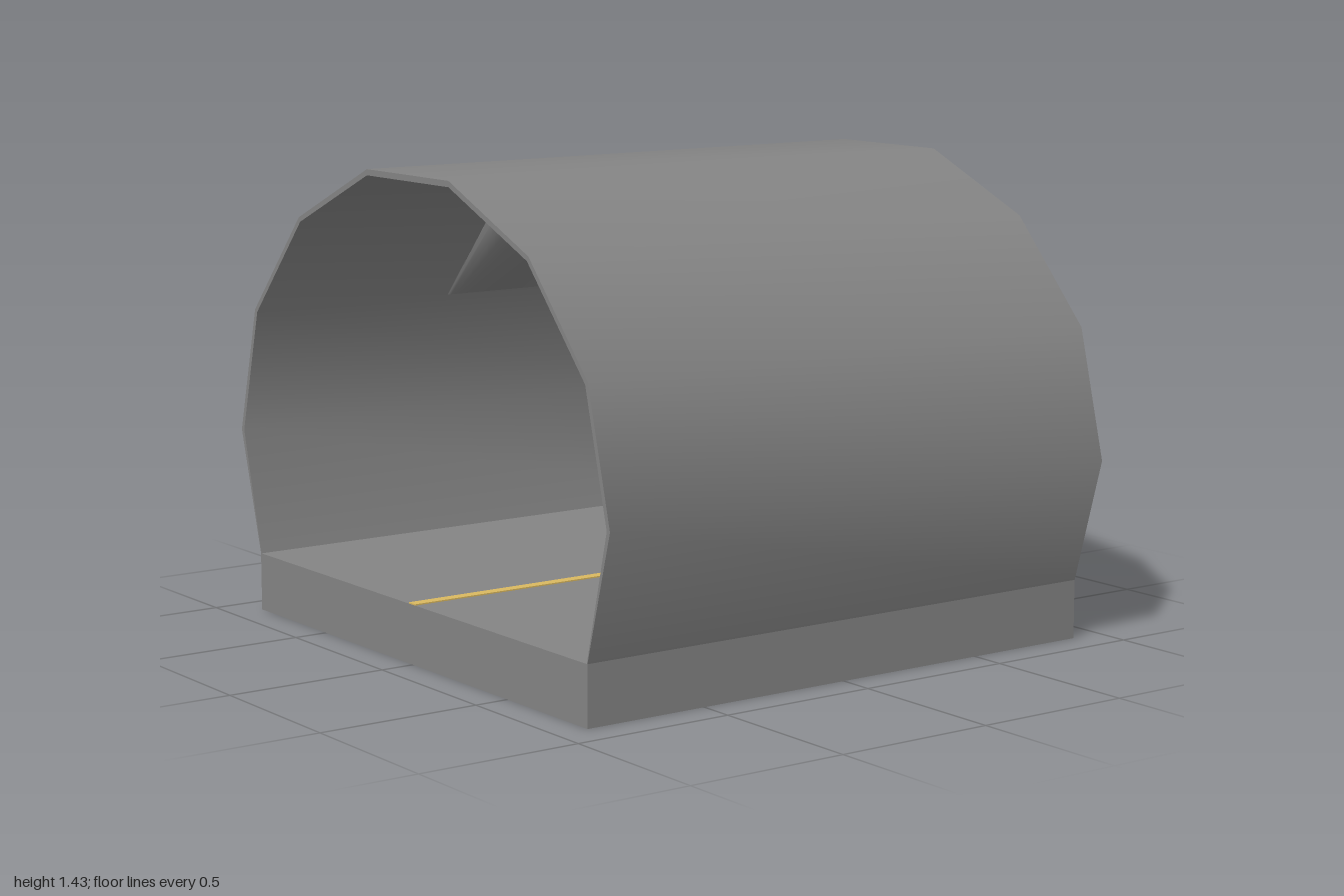
import * as THREE from 'three';

const concrete = new THREE.MeshStandardMaterial({ color: 0x848484 });
concrete.name = 'concreteGrey';
const paint = new THREE.MeshStandardMaterial({ color: 0xd9b860 });
paint.name = 'roadYellow';

const HALF = 0.895; // half length along z
const SLAB = 0.18; // slab height

// Mirror a half profile (right foot to crown) into a whole arch
const arch = (half) => [...half, ...half.map(([x, y]) => [-x, y]).reverse()];
const outer = arch([[0.893, SLAB], [1, 0.56], [0.9, 0.95], [0.62, 1.26], [0.22, 1.435]]);
const inner = arch([[0.89, SLAB], [0.985, 0.56], [0.887, 0.943], [0.612, 1.247], [0.22, 1.417]]);

// Smooth surface through rows of [x, y, z] points
function loft(rows) {
  const n = rows[0].length;
  const index = [];
  for (let r = 0; r < rows.length - 1; r++) {
    for (let i = 0; i < n - 1; i++) {
      const a = r * n + i, b = a + n;
      index.push(a, b, a + 1, b, b + 1, a + 1);
    }
  }
  const geo = new THREE.BufferGeometry();
  geo.setAttribute('position', new THREE.Float32BufferAttribute(rows.flat(2), 3));
  geo.setIndex(index);
  geo.computeVertexNormals();
  return geo;
}

const rowAt = (profile, z) => profile.map(([x, y]) => [x, y, z]);

export function createModel() {
  const group = new THREE.Group();
  group.name = 'tunnel';
  const add = (name, geo, material) => {
    const mesh = new THREE.Mesh(geo, material);
    mesh.name = name;
    group.add(mesh);
    return mesh;
  };

  // Road slab
  add('roadSlab', new THREE.BoxGeometry(0.893 * 2, SLAB, HALF * 2), concrete).position.y = SLAB / 2;

  // Painted centre line
  add('centreLine', new THREE.BoxGeometry(0.035, 0.004, HALF * 2), paint).position.y = SLAB + 0.002;

  // Arched shell, outside and inside
  add('outerShell', loft([rowAt(outer, HALF), rowAt(outer, -HALF)]), concrete);
  add('innerShell', loft([rowAt(inner, -HALF), rowAt(inner, HALF)]), concrete);

  // Thin rims closing both mouths
  const rim = new THREE.Shape([...outer, ...[...inner].reverse()].map(([x, y]) => new THREE.Vector2(x, y)));
  for (const [name, z, turn] of [['frontRim', HALF, 0], ['backRim', -HALF, Math.PI]]) {
    const mesh = add(name, new THREE.ShapeGeometry(rim), concrete);
    mesh.position.z = z;
    mesh.rotation.y = turn;
  }

  // Rounded ceiling rib, fading out at the shoulders
  const ceiling = inner.slice(2, -2);
  const rows = [];
  const steps = 16;
  for (let s = 0; s <= steps; s++) {
    const t = (Math.PI * s) / steps;
    rows.push(ceiling.map(([x, y], i) => {
      const depth = i === 0 || i === ceiling.length - 1 ? 0 : 0.172;
      return [x, y - depth * Math.sin(t), -0.2 * Math.cos(t)];
    }));
  }
  add('ceilingRib', loft(rows), concrete);

  return group;
}
